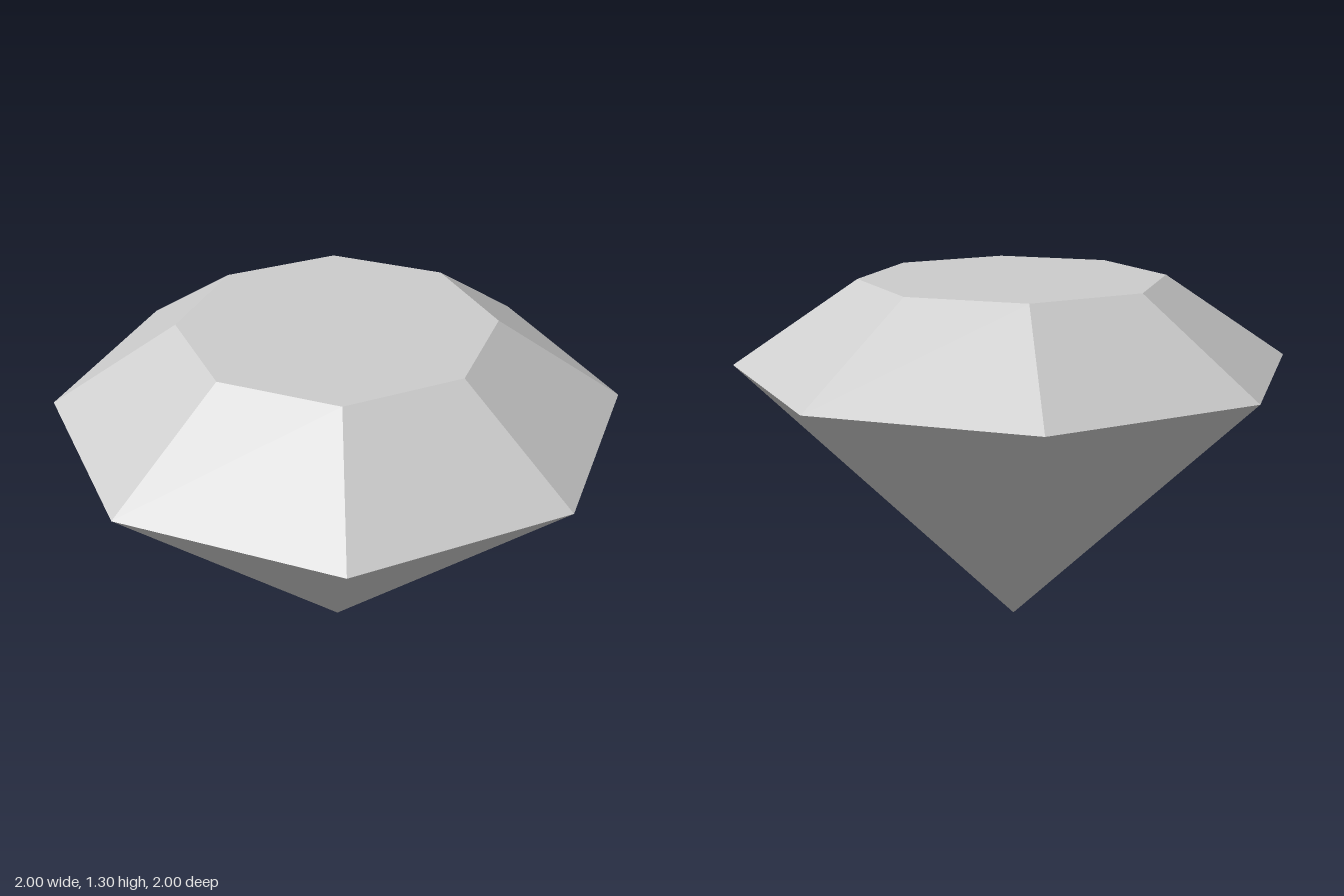
import * as THREE from 'three';

const SIDES = 8;
const GIRDLE_RADIUS = 1;
const TABLE_RADIUS = 0.55;
const GIRDLE_Y = 1;
const TABLE_Y = 1.3;

export function createModel() {
  const gem = new THREE.Group();
  gem.name = 'gem';

  const stone = new THREE.MeshStandardMaterial({ color: 0xcccccc, flatShading: true });
  stone.name = 'pale grey stone';

  // Ring of flat facets between two heights
  function addFacets(name, topRadius, bottomRadius, bottomY, topY) {
    const height = topY - bottomY;
    const geometry = new THREE.CylinderGeometry(topRadius, bottomRadius, height, SIDES, 1, true);
    const mesh = new THREE.Mesh(geometry, stone);
    mesh.name = name;
    mesh.position.y = bottomY + height / 2;
    gem.add(mesh);
  }

  // Sloping upper facets and the pointed lower half
  addFacets('crown', TABLE_RADIUS, GIRDLE_RADIUS, GIRDLE_Y, TABLE_Y);
  addFacets('pavilion', GIRDLE_RADIUS, 0, 0, GIRDLE_Y);

  // Flat octagonal top
  const table = new THREE.Mesh(new THREE.CircleGeometry(TABLE_RADIUS, SIDES), stone);
  table.name = 'table';
  table.rotation.x = -Math.PI / 2;
  table.position.y = TABLE_Y;
  gem.add(table);

  return gem;
}
